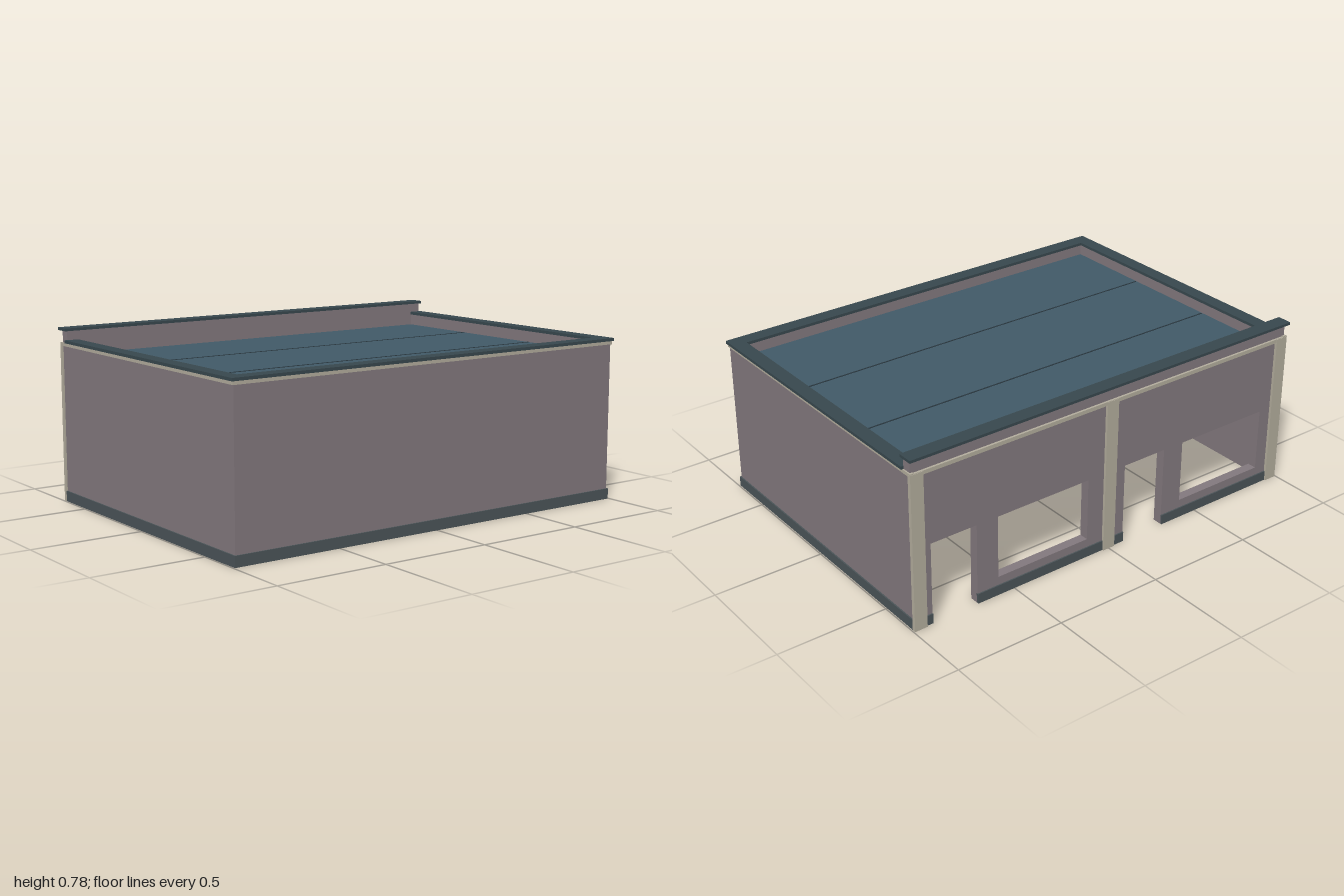
import * as THREE from 'three';

const mat = (color) => new THREE.MeshStandardMaterial({ color, flatShading: true });

export function createModel() {
  const model = new THREE.Group();
  const wall = mat(0x83797e), roof = mat(0x415a68), coping = mat(0x38484e);
  const plinth = mat(0x4b5458), trim = mat(0xb3ad9d), seam = mat(0x2a3840);

  // Box given by its min and max along each axis
  const box = (name, m, x0, x1, y0, y1, z0, z1) => {
    const mesh = new THREE.Mesh(new THREE.BoxGeometry(x1 - x0, y1 - y0, z1 - z0), m);
    mesh.position.set((x0 + x1) / 2, (y0 + y1) / 2, (z0 + z1) / 2);
    mesh.name = name;
    model.add(mesh);
  };
  // The same box on the left and right
  const pair = (name, m, x0, x1, ...rest) => {
    box(name + 'Left', m, x0, x1, ...rest);
    box(name + 'Right', m, -x1, -x0, ...rest);
  };

  // Two equal bays, each with a door and a window (offsets from the bay's left end)
  const W = 0.988;
  const bays = [W, 0];
  const door = [0.085, 0.305], win = [0.41, 0.875];
  const head = 0.37, sill = 0.083;

  // Shop wall: door notches in the outline, windows as holes
  const shape = new THREE.Shape();
  shape.moveTo(W, 0);
  for (const b of bays) {
    shape.lineTo(b - door[0], 0);
    shape.lineTo(b - door[0], head);
    shape.lineTo(b - door[1], head);
    shape.lineTo(b - door[1], 0);
    const hole = new THREE.Path();
    hole.moveTo(b - win[0], sill);
    hole.lineTo(b - win[0], head);
    hole.lineTo(b - win[1], head);
    hole.lineTo(b - win[1], sill);
    hole.closePath();
    shape.holes.push(hole);
  }
  shape.lineTo(-W, 0);
  shape.lineTo(-W, 0.77);
  shape.lineTo(W, 0.77);
  shape.closePath();
  const shopWall = new THREE.Mesh(
    new THREE.ExtrudeGeometry(shape, { depth: 0.043, bevelEnabled: false }), wall);
  shopWall.position.z = -0.69;
  shopWall.name = 'shopWall';
  model.add(shopWall);

  // Plain walls
  box('plainWall', wall, -W, W, 0, 0.715, 0.65, 0.7);
  pair('sideWall', wall, 0.94, W, 0, 0.715, -0.647, 0.65);

  // Plinth on the outer faces, broken at the doors
  box('plinthPlain', plinth, -0.994, 0.994, 0, 0.047, 0.695, 0.706);
  pair('plinthSide', plinth, 0.98, 0.994, 0, 0.047, -0.69, 0.695);
  for (const b of bays) {
    box('plinthShopStub', plinth, b - door[0], b, 0, 0.045, -0.696, -0.685);
    box('plinthShop', plinth, b - W, b - door[1], 0, 0.045, -0.696, -0.685);
  }

  // Pilasters and cornice bands
  for (const x of [0.965, 0, -0.965]) box('pilaster', trim, x - 0.03, x + 0.03, 0, 0.71, -0.702, -0.685);
  box('corniceShop', trim, -0.994, 0.994, 0.695, 0.712, -0.7, -0.685);
  box('cornicePlain', trim, -0.994, 0.994, 0.7, 0.715, 0.69, 0.705);
  pair('corniceSide', trim, 0.975, 0.994, 0.7, 0.715, -0.7, 0.69);

  // Copings: the shop side stands higher
  box('copingShop', coping, -1, 1, 0.768, 0.78, -0.71, -0.642);
  box('copingPlain', coping, -1, 1, 0.715, 0.728, 0.642, 0.71);
  pair('copingSide', coping, 0.935, 1, 0.715, 0.728, -0.65, 0.642);

  // Sunken roof slab with two seams
  box('roofSlab', roof, -0.941, 0.941, 0.635, 0.664, -0.648, 0.651);
  for (const z of [-0.228, 0.228]) box('roofSeam', seam, -0.935, 0.935, 0.66, 0.666, z - 0.003, z + 0.003);

  return model;
}
